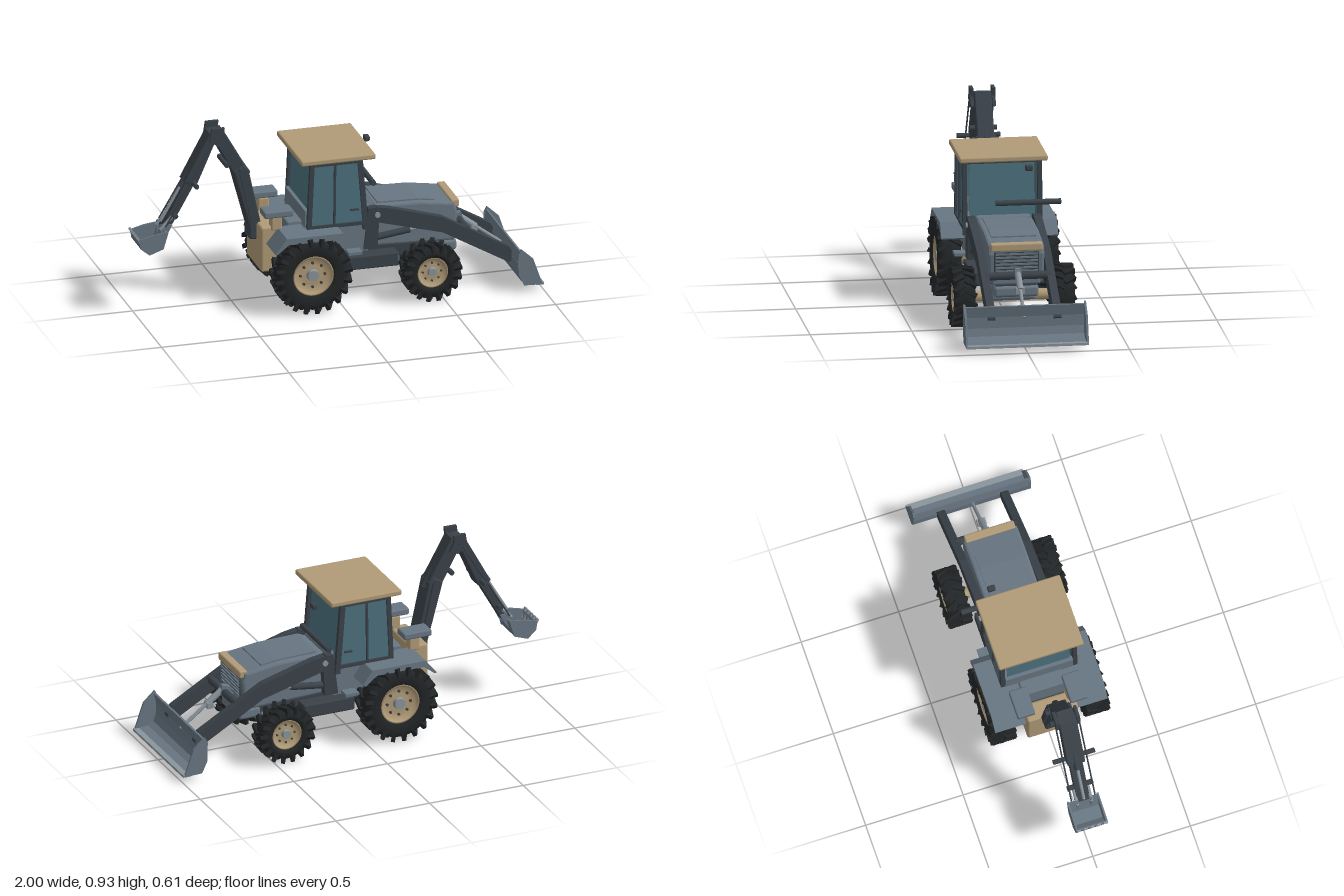
import * as THREE from 'three';
import { mergeGeometries } from 'three/addons/utils/BufferGeometryUtils.js';
import { RoundedBoxGeometry } from 'three/addons/geometries/RoundedBoxGeometry.js';

const mat = (color) => new THREE.MeshStandardMaterial({ color });
const BODY = mat(0x687682), DARK = mat(0x3a4249), TAN = mat(0xb09a76);
const TYRE = mat(0x222527), GLASS = mat(0x4d717d), STEEL = mat(0x8a949c);

export function createModel() {
  const model = new THREE.Group();
  model.name = 'tractor';

  const add = (name, geo, material, parent = model) => {
    const m = new THREE.Mesh(geo, material);
    m.name = name;
    parent.add(m);
    return m;
  };
  // box given by its limits
  const box = (name, x0, x1, y0, y1, z0, z1, material, r = 0) => {
    const s = [x1 - x0, y1 - y0, z1 - z0];
    const g = r ? new RoundedBoxGeometry(...s, 2, r) : new THREE.BoxGeometry(...s);
    return add(name, g.translate((x0 + x1) / 2, (y0 + y1) / 2, (z0 + z1) / 2), material);
  };
  // side profile extruded across z
  const slab = (name, pts, z0, z1, material, bevel = 0) => {
    const shape = new THREE.Shape(pts.map((p) => new THREE.Vector2(...p)));
    const g = new THREE.ExtrudeGeometry(shape, {
      depth: z1 - z0 - 2 * bevel, bevelEnabled: bevel > 0, bevelSize: bevel,
      bevelThickness: bevel, bevelOffset: -bevel, bevelSegments: 2,
    });
    return add(name, g.translate(0, 0, z0 + bevel), material);
  };
  // flat bar from a to b in the side plane
  const bar = (name, a, b, thick, z0, z1, material) => {
    const dx = b[0] - a[0], dy = b[1] - a[1];
    const g = new THREE.BoxGeometry(Math.hypot(dx, dy), thick, z1 - z0);
    g.rotateZ(Math.atan2(dy, dx));
    return add(name, g.translate((a[0] + b[0]) / 2, (a[1] + b[1]) / 2, (z0 + z1) / 2), material);
  };
  // round rod between two points
  const rod = (name, a, b, r, material) => {
    const p = new THREE.Vector3(...a), q = new THREE.Vector3(...b);
    const m = add(name, new THREE.CylinderGeometry(r, r, p.distanceTo(q), 14), material);
    m.position.copy(p).add(q).multiplyScalar(0.5);
    m.quaternion.setFromUnitVectors(new THREE.Vector3(0, 1, 0), q.sub(p).normalize());
    return m;
  };
  // same part on both sides: fn receives the z limits and the side
  const both = (z0, z1, fn) => { fn(z0, z1, 1); fn(-z1, -z0, -1); };

  // wheels
  const wheel = (name, x, y, r, rim, width, side, lugs) => {
    const g = new THREE.Group();
    g.name = name;
    model.add(g);
    const h = width / 2, c = r - 0.016;
    const lathe = (pts) => new THREE.LatheGeometry(pts.map((p) => new THREE.Vector2(...p)), 40).rotateX(Math.PI / 2);
    add('tyre', lathe([[rim, -h * 0.7], [rim + 0.012, -h * 0.9], [c - 0.03, -h * 0.92], [c - 0.008, -h * 0.78], [c, -h * 0.4],
      [c, h * 0.4], [c - 0.008, h * 0.78], [c - 0.03, h * 0.92], [rim + 0.012, h * 0.9], [rim, h * 0.7]]), TYRE, g);
    const treads = [];
    for (let i = 0; i < lugs * 2; i++) {
      const s = i % 2 ? 1 : -1;
      treads.push(new THREE.BoxGeometry(0.042, 0.02, h * 1.06).rotateX(s * 0.5)
        .translate(r - 0.023, 0, s * h * 0.48).rotateZ((i * Math.PI) / lugs));
    }
    add('treadLugs', mergeGeometries(treads), TYRE, g);
    add('rim', lathe([[0, -h * 0.3], [rim * 0.85, -h * 0.4], [rim, -h * 0.72], [rim + 0.004, -h * 0.72], [rim + 0.004, h * 0.74],
      [rim * 0.94, h * 0.74], [rim * 0.86, h * 0.35], [rim * 0.5, h * 0.42], [0, h * 0.42]]), TAN, g);
    add('hub', new THREE.CylinderGeometry(rim * 0.27, rim * 0.34, h * 0.7, 20).rotateX(Math.PI / 2).translate(0, 0, h * 0.42), STEEL, g);
    const bolts = [];
    for (let i = 0; i < 8; i++) {
      bolts.push(new THREE.CylinderGeometry(rim * 0.07, rim * 0.07, 0.012, 8).rotateX(Math.PI / 2)
        .translate(rim * 0.62, 0, h * 0.42).rotateZ((i * Math.PI) / 4));
    }
    add('wheelBolts', mergeGeometries(bolts), DARK, g);
    g.position.set(x, y, side * (0.302 - h));
    if (side < 0) g.rotation.y = Math.PI;
  };
  for (const side of [1, -1]) {
    wheel('rearWheel', -0.165, 0.202, 0.197, 0.1, 0.125, side, 20);
    wheel('frontWheel', 0.44, 0.153, 0.149, 0.075, 0.115, side, 17);
  }
  rod('rearAxle', [-0.165, 0.202, -0.24], [-0.165, 0.202, 0.24], 0.045, TAN);
  rod('frontAxle', [0.44, 0.153, -0.24], [0.44, 0.153, 0.24], 0.028, TAN);
  box('frontAxleBeam', 0.39, 0.5, 0.14, 0.21, -0.11, 0.11, BODY, 0.015);

  // chassis
  box('chassis', -0.3, 0.6, 0.19, 0.3, -0.1, 0.1, DARK);
  box('frontWeight', 0.5, 0.615, 0.185, 0.24, -0.11, 0.11, BODY, 0.015);
  box('bellyTank', 0.02, 0.32, 0.16, 0.2, -0.13, 0.13, BODY, 0.012);
  both(0.1, 0.18, (a, b) => box('sideTank', 0.03, 0.3, 0.165, 0.235, a, b, DARK, 0.008));
  both(0.17, 0.232, (a, b) => box('step', 0.03, 0.1, 0.265, 0.28, a, b, BODY));
  both(0.11, 0.288, (a, b) => slab('rearFender', [[-0.36, 0.335], [-0.345, 0.335], [-0.29, 0.378], [-0.04, 0.378], [0.02, 0.33],
    [0.035, 0.34], [-0.015, 0.41], [-0.3, 0.41]], a, b, BODY));

  // engine hood and grille
  slab('hood', [[0.15, 0.265], [0.15, 0.455], [0.2, 0.476], [0.42, 0.47], [0.595, 0.445], [0.61, 0.4], [0.6, 0.3], [0.57, 0.25]], -0.138, 0.138, BODY, 0.012);
  slab('hoodPanel', [[0.21, 0.46], [0.21, 0.483], [0.42, 0.477], [0.5, 0.465], [0.5, 0.44]], -0.11, 0.11, BODY);
  box('hoodBand', 0.58, 0.622, 0.418, 0.457, -0.128, 0.128, TAN, 0.008);
  box('grillePanel', 0.59, 0.612, 0.31, 0.412, -0.11, 0.11, DARK);
  for (let i = 0; i < 6; i++) box('grilleBar', 0.61, 0.618, 0.314 + i * 0.017, 0.323 + i * 0.017, -0.105, 0.105, BODY);
  box('noseGuard', 0.54, 0.605, 0.245, 0.3, -0.12, 0.12, BODY, 0.012);

  // cab
  slab('cabBase', [[-0.19, 0.28], [0.0, 0.26], [0.145, 0.26], [0.145, 0.405], [0.125, 0.425], [-0.165, 0.425], [-0.19, 0.4]], -0.173, 0.173, BODY);
  box('dashboard', 0.09, 0.16, 0.42, 0.475, -0.135, 0.135, BODY, 0.01);
  both(0.174, 0.196, (a, b, s) => {
    bar('frontPillar', [0.128, 0.38], [0.098, 0.755], 0.026, a, b, DARK);
    bar('rearPillar', [-0.16, 0.4], [-0.143, 0.755], 0.022, a, b, DARK);
    bar('doorPillar', [-0.032, 0.41], [-0.028, 0.74], 0.01, a, b, DARK);
    bar('roofRail', [-0.15, 0.742], [0.105, 0.742], 0.02, a, b, DARK);
    bar('sill', [-0.165, 0.415], [0.13, 0.415], 0.018, a, b, DARK);
    slab('sideWindow', [[-0.155, 0.41], [0.12, 0.41], [0.098, 0.74], [-0.138, 0.74]], s * 0.183 - 0.003, s * 0.183 + 0.003, GLASS);
    box('doorHandle', 0.05, 0.09, 0.485, 0.493, s * 0.19 - 0.008, s * 0.19 + 0.008, DARK);
  });
  bar('windscreen', [0.125, 0.41], [0.098, 0.735], 0.006, -0.16, 0.16, GLASS);
  bar('rearWindow', [-0.157, 0.45], [-0.143, 0.735], 0.006, -0.16, 0.16, GLASS);
  box('frontHeader', 0.085, 0.11, 0.73, 0.752, -0.19, 0.19, DARK);
  box('rearHeader', -0.155, -0.132, 0.73, 0.752, -0.19, 0.19, DARK);
  box('rearPanel', -0.175, -0.15, 0.4, 0.5, -0.172, 0.172, BODY);
  box('rearLocker', -0.25, -0.17, 0.3, 0.43, -0.11, 0.11, BODY, 0.01);
  box('roof', -0.205, 0.172, 0.75, 0.778, -0.217, 0.217, TAN, 0.008);
  box('workLamp', 0.207, 0.235, 0.717, 0.746, -0.136, -0.097, DARK, 0.008);
  rod('exhaustPipe', [0.21, 0.555, 0.045], [0.21, 0.555, -0.275], 0.014, DARK);

  // front lifting arms
  both(0.143, 0.182, (a, b, s) => {
    slab('armTower', [[0.12, 0.27], [0.19, 0.27], [0.2, 0.44], [0.185, 0.485], [0.145, 0.48]], a, b, DARK);
    slab('liftArm', [[0.17, 0.41], [0.17, 0.465], [0.19, 0.482], [0.25, 0.472], [0.52, 0.395], [0.86, 0.2], [0.885, 0.15],
      [0.86, 0.12], [0.52, 0.315]], a, b, DARK);
    const z = s * 0.155;
    rod('liftRam', [0.17, 0.315, z], [0.36, 0.34, z], 0.017, DARK);
    rod('liftRamRod', [0.36, 0.34, z], [0.53, 0.36, z], 0.009, STEEL);
    rod('armPin', [0.19, 0.445, s * 0.14], [0.19, 0.445, s * 0.19], 0.014, STEEL);
  });
  rod('armCrossTube', [0.65, 0.305, -0.16], [0.65, 0.305, 0.16], 0.02, DARK);
  bar('tiltBracket', [0.6, 0.3], [0.67, 0.32], 0.05, -0.016, 0.016, BODY);
  rod('tiltRam', [0.64, 0.33, 0], [0.74, 0.255, 0], 0.016, STEEL);
  box('tiltRamCollar', 0.715, 0.745, 0.235, 0.265, -0.022, 0.022, STEEL);
  rod('tiltRamRod', [0.74, 0.255, 0], [0.88, 0.15, 0], 0.009, STEEL);

  // front bucket: curved sheet between two cheeks
  const scoop = (name, pts, thick, z) => {
    for (let i = 1; i < pts.length; i++) bar(name, pts[i - 1], pts[i], thick, -z, z, BODY);
  };
  scoop('frontBucketShell', [[0.885, 0.215], [0.874, 0.16], [0.876, 0.105], [0.89, 0.065], [0.92, 0.045], [0.995, 0.039]], 0.01, 0.296);
  both(0.292, 0.302, (a, b) => slab('frontBucketCheek', [[0.87, 0.2], [0.885, 0.23], [0.945, 0.175], [0.985, 0.06], [0.995, 0.036],
    [0.9, 0.04], [0.872, 0.1]], a, b, BODY));
  box('cuttingEdge', 0.96, 1, 0.034, 0.046, -0.3, 0.3, STEEL);

  // rear digger mount and pads
  box('swingFrame', -0.385, -0.29, 0.185, 0.42, -0.13, 0.13, TAN, 0.012);
  both(0.09, 0.18, (a, b, s) => {
    box('padSupport', -0.335, -0.28, 0.4, 0.485, s * 0.115 - 0.025, s * 0.115 + 0.025, TAN, 0.008);
    box('rearPad', -0.382, -0.235, 0.482, 0.516, a, b, BODY, 0.008);
  });
  box('swingPost', -0.42, -0.36, 0.33, 0.42, -0.05, 0.05, DARK, 0.01);

  // boom and dipper
  slab('lowerBoom', [[-0.415, 0.38], [-0.385, 0.345], [-0.355, 0.38], [-0.425, 0.7], [-0.45, 0.725], [-0.5, 0.695]], -0.05, 0.05, DARK, 0.006);
  slab('upperBoom', [[-0.495, 0.675], [-0.43, 0.705], [-0.55, 0.915], [-0.61, 0.89]], -0.042, 0.042, DARK, 0.006);
  slab('upperDipper', [[-0.57, 0.91], [-0.62, 0.905], [-0.75, 0.665], [-0.69, 0.635]], -0.045, 0.045, DARK, 0.006);
  slab('lowerDipper', [[-0.735, 0.67], [-0.695, 0.65], [-0.825, 0.42], [-0.86, 0.435]], -0.032, 0.032, DARK);
  both(0.046, 0.062, (a, b, s) => {
    slab('elbowPlate', [[-0.615, 0.935], [-0.55, 0.935], [-0.555, 0.895], [-0.53, 0.85], [-0.575, 0.835], [-0.625, 0.87]], a, b, DARK);
    bar('boomSidePlate', [-0.4, 0.43], [-0.46, 0.7], 0.03, a, b, DARK);
    rod('hose', [-0.6, 0.87, s * 0.06], [-0.85, 0.45, s * 0.06], 0.004, DARK);
    rod('bucketLink', [-0.8, 0.5, s * 0.036], [-0.87, 0.43, s * 0.036], 0.009, STEEL);
  });
  rod('boomRam', [-0.42, 0.66, 0], [-0.53, 0.83, 0], 0.02, DARK);
  rod('dipperRam', [-0.63, 0.84, 0], [-0.76, 0.63, 0], 0.016, DARK);
  rod('dipperRamRod', [-0.76, 0.63, 0], [-0.86, 0.46, 0], 0.008, STEEL);
  rod('dipperCrossRod', [-0.705, 0.66, -0.107], [-0.705, 0.66, 0.107], 0.012, DARK);
  for (const [x, y] of [[-0.54, 0.74], [-0.465, 0.7], [-0.59, 0.885], [-0.8, 0.5]]) {
    rod('linkPin', [x, y, -0.066], [x, y, 0.066], 0.013, DARK);
  }

  // digging bucket, open upward, with teeth
  scoop('diggingBucketShell', [[-0.985, 0.4], [-0.975, 0.355], [-0.935, 0.325], [-0.87, 0.348], [-0.848, 0.425]], 0.01, 0.078);
  both(0.072, 0.081, (a, b) => slab('diggingBucketCheek', [[-0.99, 0.402], [-0.982, 0.355], [-0.937, 0.318], [-0.866, 0.343],
    [-0.84, 0.43], [-0.92, 0.42]], a, b, BODY));
  both(0.03, 0.04, (a, b) => slab('bucketBracket', [[-0.87, 0.36], [-0.835, 0.4], [-0.81, 0.45], [-0.87, 0.455]], a, b, BODY));
  for (let i = -2; i <= 2; i++) bar('bucketTooth', [-0.995, 0.412], [-0.97, 0.365], 0.012, i * 0.034 - 0.009, i * 0.034 + 0.009, STEEL);

  return model;
}
